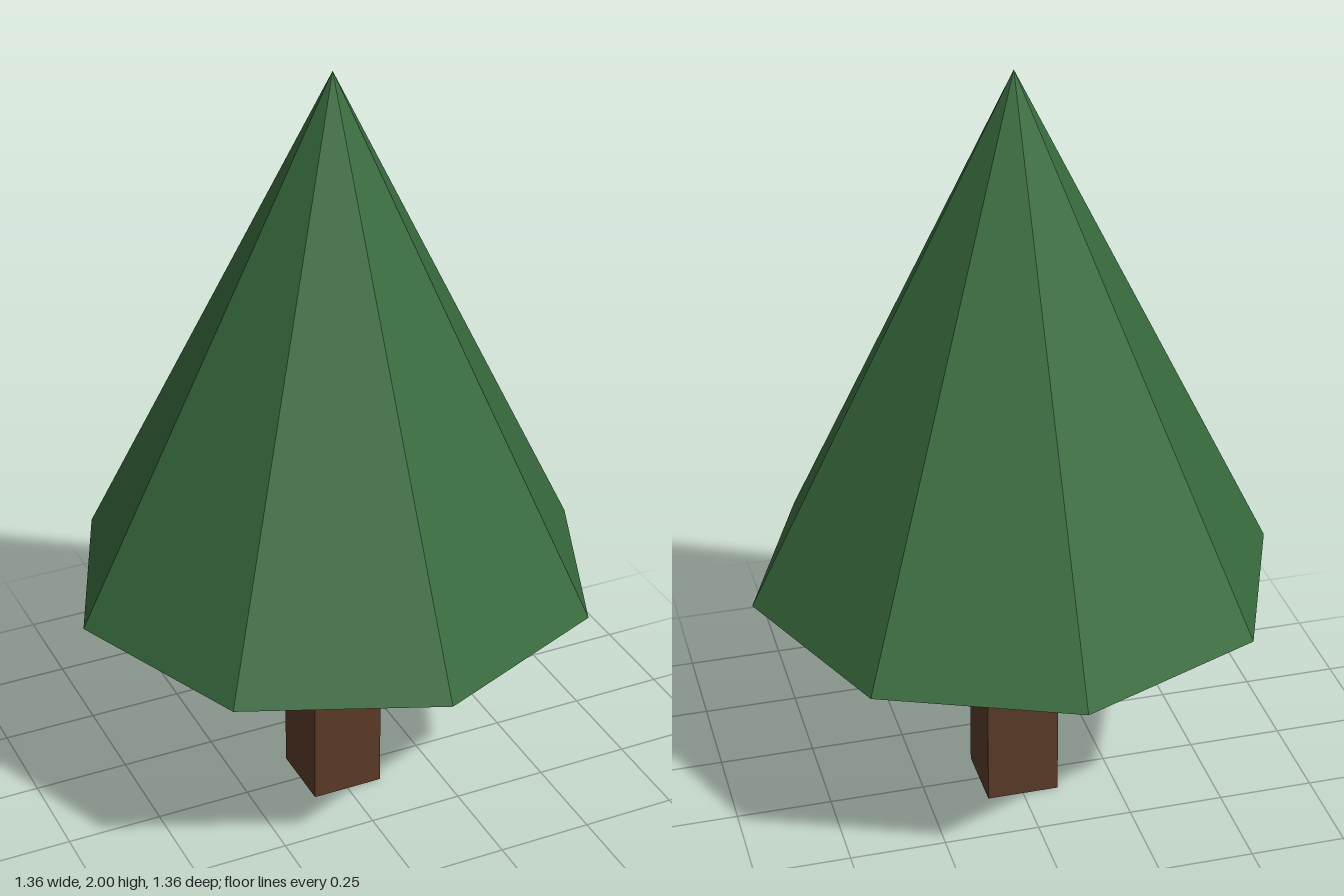
import * as THREE from 'three';

const TRUNK_HEIGHT = 0.64;
const TRUNK_WIDTH = 0.19;
const CROWN_RADIUS = 0.68;
const CROWN_HEIGHT = 1.36;

function addPart(group, name, geometry, color, y) {
  const material = new THREE.MeshStandardMaterial({ color, flatShading: true });
  const mesh = new THREE.Mesh(geometry, material);
  mesh.name = name;
  mesh.position.y = y;
  group.add(mesh);
}

export function createModel() {
  const tree = new THREE.Group();
  tree.name = 'tree';

  // Square trunk standing on the ground
  const trunk = new THREE.BoxGeometry(TRUNK_WIDTH, TRUNK_HEIGHT, TRUNK_WIDTH);
  addPart(tree, 'trunk', trunk, 0x5a3a26, TRUNK_HEIGHT / 2);

  // Eight-sided crown, closed underneath, with corners on the x and z axes
  const crown = new THREE.ConeGeometry(CROWN_RADIUS, CROWN_HEIGHT, 8);
  addPart(tree, 'crown', crown, 0x386b3e, TRUNK_HEIGHT + CROWN_HEIGHT / 2);

  return tree;
}
